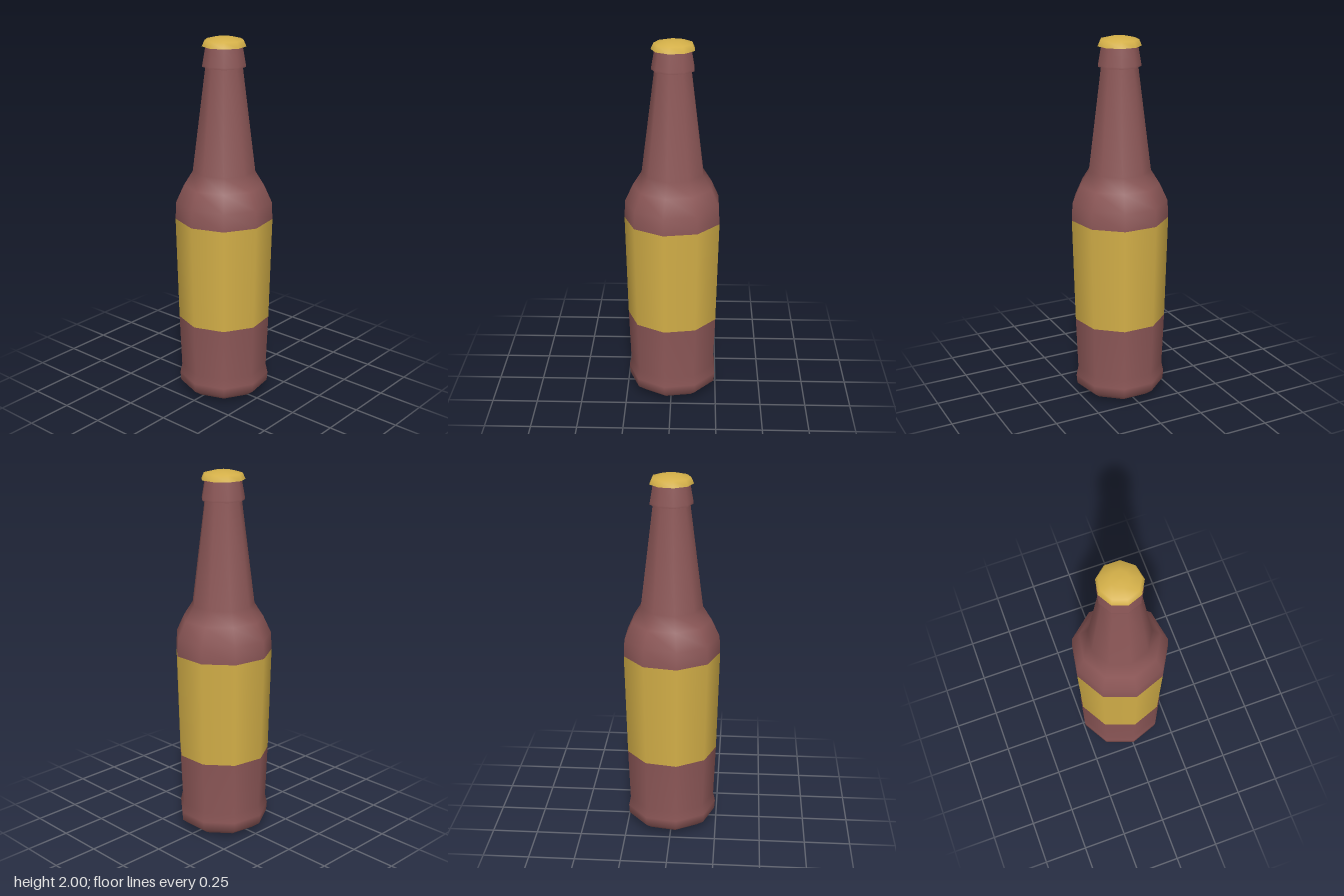
import * as THREE from 'three';

const SIDES = 9;
// Profiles give half-widths; the corner radius of a nine-sided ring is slightly larger
const CORNER = 1 / Math.cos(Math.PI / 18);

const glass = new THREE.MeshStandardMaterial({ color: 0x8c5757 });
glass.name = 'brownGlass';
const gold = new THREE.MeshStandardMaterial({ color: 0xd3af48 });
gold.name = 'gold';

// Turned section from [halfWidth, y] points, listed bottom to top
function turned(name, material, points) {
  const profile = points.map(([r, y]) => new THREE.Vector2(r * CORNER, y));
  const mesh = new THREE.Mesh(new THREE.LatheGeometry(profile, SIDES), material);
  mesh.name = name;
  return mesh;
}

export function createModel() {
  const bottle = new THREE.Group();
  bottle.name = 'bottle';

  bottle.add(
    // Rounded foot and lower body
    turned('base', glass, [
      [0, 0], [0.2, 0.015], [0.244, 0.05], [0.248, 0.1], [0.237, 0.15], [0.248, 0.447],
    ]),
    // Label band wrapping the body
    turned('label', gold, [[0.248, 0.447], [0.262, 1.025]]),
    // Shoulder tapering into the neck
    turned('shoulderAndNeck', glass, [
      [0.262, 1.025], [0.257, 1.12], [0.215, 1.213], [0.167, 1.29], [0.097, 1.85],
    ]),
    // Lip ring with a sharp lower edge
    turned('lipUnderside', glass, [[0.092, 1.845], [0.113, 1.847]]),
    turned('lip', glass, [[0.113, 1.847], [0.113, 1.858], [0.096, 1.955]]),
    // Crown cap
    turned('capUnderside', gold, [[0.085, 1.953], [0.115, 1.953]]),
    turned('cap', gold, [[0.115, 1.953], [0.101, 1.985], [0.045, 1.999], [0, 2]]),
  );

  // Centre the odd-sided outline in depth
  bottle.position.z = -0.008;
  const model = new THREE.Group();
  model.add(bottle);
  return model;
}
